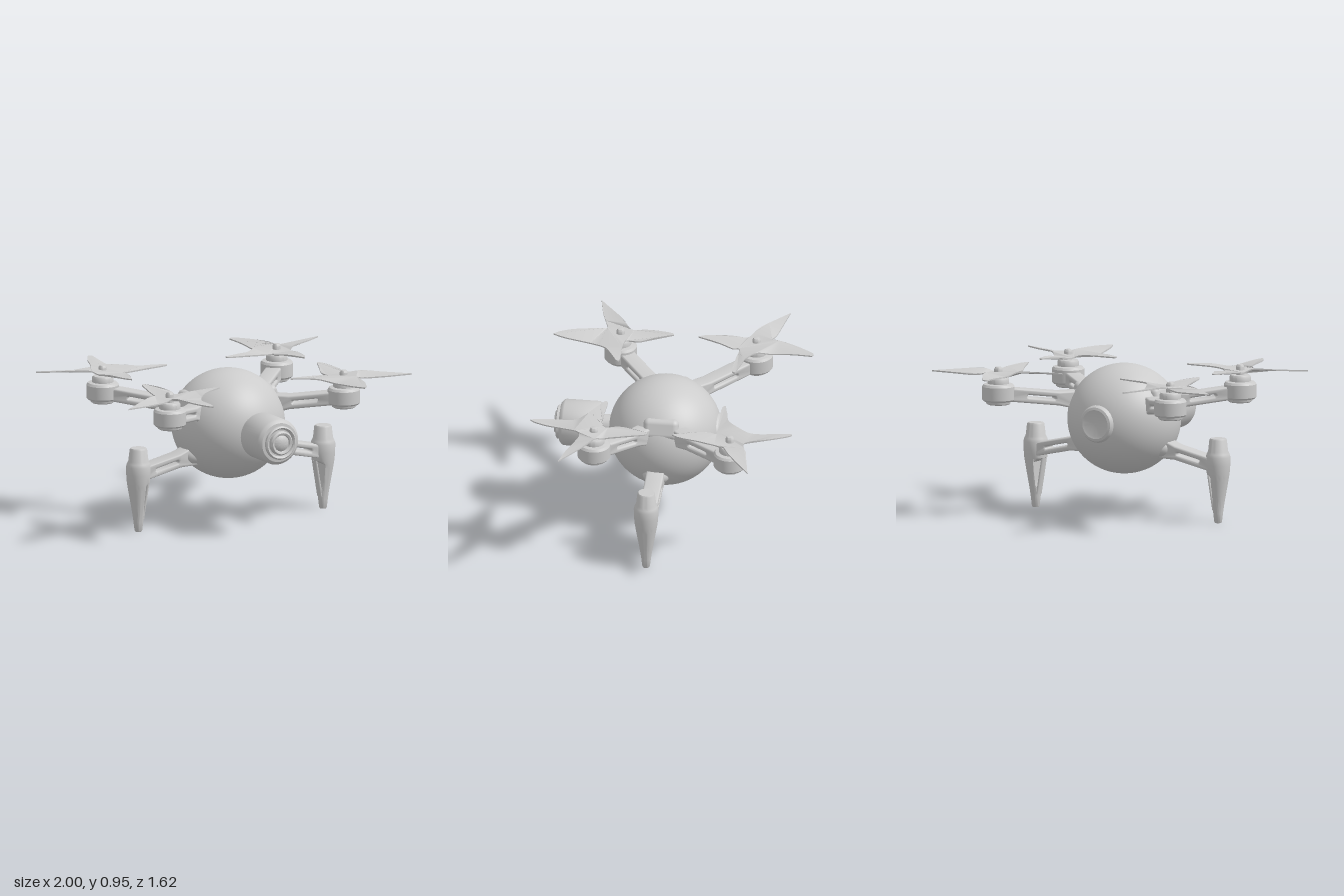
import * as THREE from 'three';
import { toCreasedNormals } from 'three/addons/utils/BufferGeometryUtils.js';
import { RoundedBoxGeometry } from 'three/addons/geometries/RoundedBoxGeometry.js';

const grey = new THREE.MeshStandardMaterial({ color: 0xcccccc });

function add(parent, name, geo, x = 0, y = 0, z = 0) {
  const mesh = new THREE.Mesh(geo, grey);
  mesh.name = name;
  mesh.position.set(x, y, z);
  parent.add(mesh);
  return mesh;
}

// Turned part from [radius, height] pairs, with crisp steps
function turned(profile, segments = 48) {
  return toCreasedNormals(new THREE.LatheGeometry(profile.map(p => new THREE.Vector2(...p)), segments), 0.6);
}

// Slotted strut: a and b are [x, y, z] centres of the ends, ha and hb their heights
function strut(parent, name, a, b, ha, hb, width, slotStart, slotEnd, slotHeight) {
  const len = Math.hypot(b[0] - a[0], b[2] - a[2]);
  const bevel = 0.012;
  const mid = t => a[1] + (b[1] - a[1]) * t;
  const shape = new THREE.Shape();
  shape.moveTo(0, a[1] - ha / 2 + bevel);
  shape.lineTo(len * 0.3, mid(0.3) - hb / 2 + bevel);
  shape.lineTo(len, b[1] - hb / 2 + bevel);
  shape.lineTo(len, b[1] + hb / 2 - bevel);
  shape.lineTo(len * 0.3, mid(0.3) + hb / 2 - bevel);
  shape.lineTo(0, a[1] + ha / 2 - bevel);
  shape.closePath();
  // rounded slot following the slope
  const r = slotHeight / 2 + bevel * 0.6, slope = Math.atan2(b[1] - a[1], len);
  const slot = new THREE.Path();
  slot.absarc(len * slotStart, mid(slotStart), r, slope + Math.PI / 2, slope + Math.PI * 1.5, false);
  slot.absarc(len * slotEnd, mid(slotEnd), r, slope - Math.PI / 2, slope + Math.PI / 2, false);
  slot.closePath();
  shape.holes.push(slot);
  const depth = width - 2 * bevel;
  const geo = new THREE.ExtrudeGeometry(shape, {
    depth, bevelEnabled: true, bevelSize: bevel, bevelThickness: bevel, bevelSegments: 3, curveSegments: 8,
  });
  geo.translate(0, 0, -depth / 2);
  const mesh = add(parent, name, toCreasedNormals(geo, 0.7), a[0], 0, a[2]);
  mesh.rotation.y = -Math.atan2(b[2] - a[2], b[0] - a[0]);
}

// Four-bladed propellers: each edge runs from one blade tip to the next (x, z in hundredths)
const rearEdges = [
  [[38, -16], [19, -2], [7, 5], [5, 15], [2.5, 30], [-0.5, 36]],
  [[-0.5, 36], [-6, 22], [-9, 14], [-9, 9.5], [-22, 10], [-38, 10], [-40.5, 8]],
  [[-40.5, 8], [-30, 5.5], [-22, 3.5], [-14.5, -4], [-11.5, -17], [-13, -36]],
  [[-13, -36], [-10, -36], [-3, -24], [2, -12], [4, -9], [11, -11], [24, -13.5], [38, -16]],
];
const frontEdges = [
  [[38.5, 17], [19, 3], [7, -5], [5, -17], [2, -31], [-0.5, -33]],
  [[-0.5, -33], [-6, -20], [-8.5, -13], [-8, -5], [-18, -3.5], [-34, -4], [-36, -2]],
  [[-36, -2], [-25, 4], [-19, 8], [-14, 15], [-11, 32], [-8, 40.5]],
  [[-8, 40.5], [-5, 37], [-1.5, 29], [1, 18], [3.5, 9], [11, 10], [24, 14], [38.5, 17]],
];
function propellerGeometry(edges, side) {
  const shape = new THREE.Shape();
  const pt = ([x, z]) => new THREE.Vector2(side * x / 100, -z / 100);
  shape.moveTo(...pt(edges[0][0]).toArray());
  edges.forEach(e => shape.splineThru(e.slice(1).map(pt)));
  const geo = new THREE.ExtrudeGeometry(shape, { depth: 0.008, bevelEnabled: false, curveSegments: 18 });
  geo.rotateX(-Math.PI / 2);
  // pitch the blades: one long edge rides higher than the other
  const p = geo.attributes.position, flip = edges === rearEdges ? 1 : -1;
  for (let i = 0; i < p.count; i++) {
    const angle = Math.atan2(p.getZ(i) * flip, p.getX(i) * side);
    p.setY(i, p.getY(i) + 0.011 * Math.sin(4 * (angle + 0.35)));
  }
  return toCreasedNormals(geo, 0.5);
}

const motorProfile = [[0, 0.706], [0.065, 0.706], [0.074, 0.712], [0.077, 0.725], [0.092, 0.728], [0.1, 0.738],
  [0.1, 0.818], [0.09, 0.832], [0.066, 0.836], [0.066, 0.862], [0.058, 0.874], [0.026, 0.876],
  [0.026, 0.925], [0.018, 0.938], [0, 0.942]];

// Round tapering leg, hollowed on its inner side, with a thin brace closing the window
function leg(parent, s) {
  const x = 0.65, z = 0.072;
  const profile = [[0, 0], [0.02, 0], [0.024, 0.008], [0.03, 0.06], [0.037, 0.11], [0.042, 0.14], [0.049, 0.18],
    [0.056, 0.22], [0.063, 0.26], [0.067, 0.285], [0.071, 0.31], [0.075, 0.36], [0.076, 0.41], [0.07, 0.43],
    [0.062, 0.445], [0.054, 0.515], [0.048, 0.525], [0, 0.526]];
  const geo = new THREE.LatheGeometry(profile.map(p => new THREE.Vector2(...p)), 40);
  const p = geo.attributes.position;
  for (let i = 0; i < p.count; i++) {
    const y = p.getY(i);
    if (y > 0.12 && y < 0.3) p.setX(i, s * Math.max(s * p.getX(i), -0.018));
  }
  add(parent, 'leg', toCreasedNormals(geo, 0.6), s * x, 0, z);
  const path = new THREE.LineCurve3(new THREE.Vector3(s * 0.59, 0.31, z), new THREE.Vector3(s * 0.628, 0.08, z));
  const brace = new THREE.TubeGeometry(path, 4, 0.011, 10);
  brace.translate(0, 0, -z);
  brace.scale(1, 1, 2.6);
  add(parent, 'legBrace', brace, 0, 0, z);
}

export function createModel() {
  const model = new THREE.Group();
  model.name = 'cameraDrone';

  // Ball body with a shallow dished cap at the back
  add(model, 'body', new THREE.SphereGeometry(0.347, 64, 48), 0, 0.605, 0.04).scale.set(1.01, 0.98, 1);
  const cap = turned([[0.125, 0.26], [0.115, 0.334], [0.105, 0.35], [0.09, 0.355], [0.075, 0.35], [0, 0.346]]);
  cap.rotateX(-Math.PI / 2);
  add(model, 'rearCap', cap, 0, 0.61, 0.04);

  // Camera on a short neck, lens facing forward
  const camera = new THREE.Group();
  camera.name = 'camera';
  camera.position.y = 0.608;
  model.add(camera);
  const housing = turned([[0.066, 0.34], [0.066, 0.435], [0.125, 0.437], [0.137, 0.442], [0.143, 0.455],
    [0.143, 0.66], [0.138, 0.672], [0.122, 0.686], [0.104, 0.688], [0.104, 0.704], [0.096, 0.71],
    [0.088, 0.704], [0.084, 0.69], [0, 0.69]], 64);
  housing.rotateX(Math.PI / 2);
  add(camera, 'cameraHousing', housing);
  const lens = turned([[0.075, 0.68], [0.075, 0.712], [0.066, 0.722], [0.055, 0.718], [0.05, 0.71], [0.04, 0.718],
    [0.022, 0.725], [0, 0.727]]);
  lens.rotateX(Math.PI / 2);
  add(camera, 'lens', lens);

  for (const s of [1, -1]) {
    const side = s > 0 ? 'left' : 'right';

    // Shoulder from which both rotor arms branch
    const shoulder = add(model, side + 'Shoulder', new RoundedBoxGeometry(0.12, 0.13, 0.22, 4, 0.035), s * 0.253, 0.755, 0.03);
    shoulder.rotation.z = s * 0.35;

    // Rotor arms, motors and propellers
    for (const [end, edges, rootZ, z] of [['Front', frontEdges, 0.1, 0.4], ['Rear', rearEdges, -0.05, -0.442]]) {
      const rotor = new THREE.Group();
      rotor.name = side + end + 'Rotor';
      model.add(rotor);
      const x = s * 0.613;
      strut(rotor, 'rotorArm', [s * 0.24, 0.712, rootZ], [x, 0.775, z], 0.13, 0.085, 0.1, 0.36, 0.66, 0.026);
      add(rotor, 'motor', turned(motorProfile), x, 0, z);
      add(rotor, 'propeller', propellerGeometry(edges, s), x, 0.904, z);
    }

    // Landing gear
    const gear = new THREE.Group();
    gear.name = side + 'LandingGear';
    model.add(gear);
    strut(gear, 'legArm', [s * 0.26, 0.445, 0.06], [s * 0.64, 0.36, 0.065], 0.13, 0.085, 0.11, 0.36, 0.74, 0.026);
    const root = add(gear, 'legArmRoot', new THREE.SphereGeometry(0.085, 24, 16), s * 0.27, 0.44, 0.06);
    root.scale.set(0.9, 0.75, 1);
    leg(gear, s);
  }
  return model;
}
